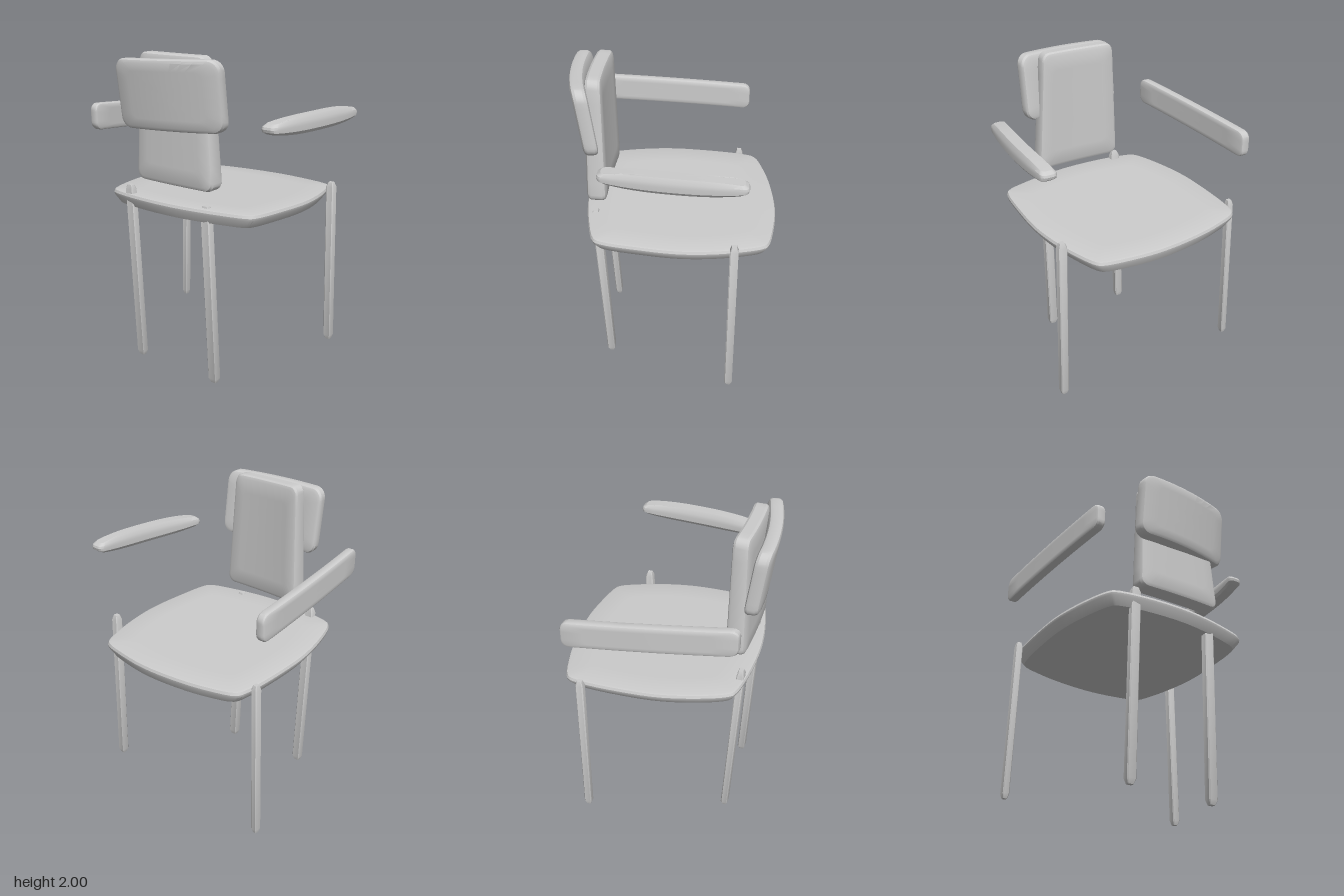
import * as THREE from 'three';
import { toCreasedNormals } from 'three/addons/utils/BufferGeometryUtils.js';

const material = new THREE.MeshStandardMaterial({ color: 0xcccccc });

// Rounded rectangle outline, counter-clockwise, with subdivided edges so it can bend
function roundedRect(w, h, r, arc = 4, sub = 8) {
  const corners = [];
  [[1, 1], [-1, 1], [-1, -1], [1, -1]].forEach(([sx, sy], c) => {
    for (let i = 0; i <= arc; i++) {
      const a = (c + i / arc) * Math.PI / 2;
      corners.push([sx * (w / 2 - r) + r * Math.cos(a), sy * (h / 2 - r) + r * Math.sin(a)]);
    }
  });
  const out = [];
  corners.forEach((p, i) => {
    out.push(p);
    if (i % (arc + 1) !== arc) return;
    const q = corners[(i + 1) % corners.length];
    for (let k = 1; k < sub; k++) {
      out.push([p[0] + (q[0] - p[0]) * k / sub, p[1] + (q[1] - p[1]) * k / sub]);
    }
  });
  return out;
}

// Closed slab: the outline is scaled per layer [su, sv, depth], capped with
// concentric rings, and every point is placed by warp(u, v, n).
function slab(name, outline, layers, warp) {
  const cap = (l, s) => [l[0] * s, l[1] * s, l[2]];
  const first = layers[0], last = layers[layers.length - 1];
  const all = [
    ...[0, 0.25, 0.5, 0.75].map(s => cap(first, s)),
    ...layers,
    ...[0.75, 0.5, 0.25, 0].map(s => cap(last, s)),
  ];
  const count = outline.length, pos = [], index = [];
  all.forEach(([su, sv, n], k) => {
    outline.forEach(([u, v], j) => {
      pos.push(...warp(u * su, v * sv, n));
      if (k === all.length - 1) return;
      const a = k * count + j, b = k * count + (j + 1) % count;
      if (k > 0) index.push(a, b, b + count);
      if (k < all.length - 2) index.push(a, b + count, a + count);
      if (k === all.length - 2) index.pop(), index.pop(), index.pop(), index.push(a, b, a + count);
    });
  });
  const geo = new THREE.BufferGeometry();
  geo.setAttribute('position', new THREE.Float32BufferAttribute(pos, 3));
  geo.setIndex(index);
  const mesh = new THREE.Mesh(toCreasedNormals(geo, 0.5), material);
  mesh.name = name;
  return mesh;
}

// Layers of a bevelled plate: w x h outline, depth d, bevel b
function bevelled(w, h, d, b) {
  const inset = i => [1 - 2 * i / w, 1 - 2 * i / h];
  return [
    [...inset(b), -d / 2], [...inset(b * 0.3), -d / 2 + b * 0.35], [1, 1, -d / 2 + b],
    [1, 1, d / 2 - b], [...inset(b * 0.3), d / 2 - b * 0.35], [...inset(b), d / 2],
  ];
}

// Seat: four bowed edges between soft corners, tilted in z
function seat() {
  const cx = -0.02, cz = -0.05;
  const edge = [
    [-0.58, -0.5], [-0.605, -0.43], [-0.617, -0.15], [-0.6, 0.11], [-0.53, 0.38], [-0.485, 0.48], [-0.46, 0.505],
    [-0.28, 0.54], [0.05, 0.545], [0.37, 0.49], [0.53, 0.435], [0.553, 0.39], [0.575, 0.17], [0.58, -0.06],
    [0.555, -0.25], [0.5, -0.45], [0.445, -0.575], [0.41, -0.597], [0.31, -0.617], [0.06, -0.637],
    [-0.22, -0.61], [-0.42, -0.565],
  ].map(([x, z]) => new THREE.Vector3(x - cx, cz - z, 0));
  const outline = new THREE.CatmullRomCurve3(edge, true).getPoints(88).slice(0, -1).map(p => [p.x, p.y]);
  const layers = [[0.93, 0.95, -0.085], [0.995, 0.995, -0.035], [1, 1, -0.02], [0.99, 0.99, -0.004], [0.97, 0.97, 0]];
  return slab('seat', outline, layers, (u, v, n) => {
    const z = cz - v;
    return [u + cx, 1.118 + 0.046 * z + n, z];
  });
}

// Leg: slim bar with tapered ends leaning from bottom to top
function leg(name, bottom, top, w, d) {
  const outline = roundedRect(w, d, 0.006, 1, 1);
  const e = 0.03 / (top[1] - bottom[1]);
  return slab(name, outline, [[0.6, 0.6, 0], [1, 1, e], [1, 1, 1 - e], [0.6, 0.6, 1]], (u, v, t) => [
    THREE.MathUtils.lerp(bottom[0], top[0], t) + u,
    THREE.MathUtils.lerp(bottom[1], top[1], t),
    THREE.MathUtils.lerp(bottom[2], top[2], t) - v,
  ]);
}

export function createModel() {
  const chair = new THREE.Group();
  chair.name = 'chair';
  chair.add(seat());

  // Legs
  chair.add(
    leg('rightFrontLeg', [-0.315, 0.025, 0.446], [-0.316, 1.195, 0.505], 0.06, 0.044),
    leg('leftFrontLeg', [0.26, 0, 0.413], [0.245, 1.15, 0.465], 0.062, 0.05),
    leg('rightRearLeg', [-0.655, 0.085, -0.395], [-0.63, 1.12, -0.392], 0.042, 0.048),
    leg('leftRearLeg', [0.592, 0.085, -0.395], [0.57, 1.165, -0.392], 0.052, 0.05),
  );

  // Tall back panel, narrowing and thinning upward
  chair.add(slab('backPanel', roundedRect(0.58, 0.76, 0.05), bevelled(0.58, 0.76, 0.12, 0.025), (u, v, n) => {
    const t = v / 0.76 + 0.5;
    return [
      u * (1 - 0.15 * t) + 0.022 - 0.017 * t,
      1.62 + v,
      0.452 - 0.005 * t + n * (1 - 0.2 * t) - 0.12 * u * u,
    ];
  }));

  // Upper back cushion, bent, turned and leaning
  chair.add(slab('backCushion', roundedRect(0.69, 0.41, 0.065, 6), bevelled(0.69, 0.41, 0.085, 0.022), (u, v, n) => {
    const x = u + 0.03;
    return [x + 0.15 * n, 1.775 + v + 0.035 * u, 0.545 + n - 0.1175 * x - 0.29 * x * x + 0.13 * v];
  }));

  // Left arm: flat pad, thinner toward both ends
  const padLayers = [[0.94, 0.7, -0.05], [0.99, 0.97, -0.03], [1, 1, 0], [0.99, 0.95, 0.025], [0.94, 0.7, 0.05]];
  chair.add(slab('leftArm', roundedRect(0.83, 0.1, 0.03, 4, 14), padLayers, (u, v, n) => {
    const z = u - 0.043, t = Math.abs(u / 0.415);
    return [0.643 - 0.085 * z - 0.14 * z * z + v, 1.62 + n * (1 - 0.5 * t ** 3), z];
  }));

  // Right arm: upright curved plank
  chair.add(slab('rightArm', roundedRect(0.165, 0.99, 0.045, 4, 14), bevelled(0.165, 0.99, 0.06, 0.014), (u, v, n) => {
    const z = v + 0.05;
    return [-0.647 + 0.108 * z + 0.04 * z * z + n, 1.545 + 0.09 * v + u, z];
  }));

  return chair;
}
